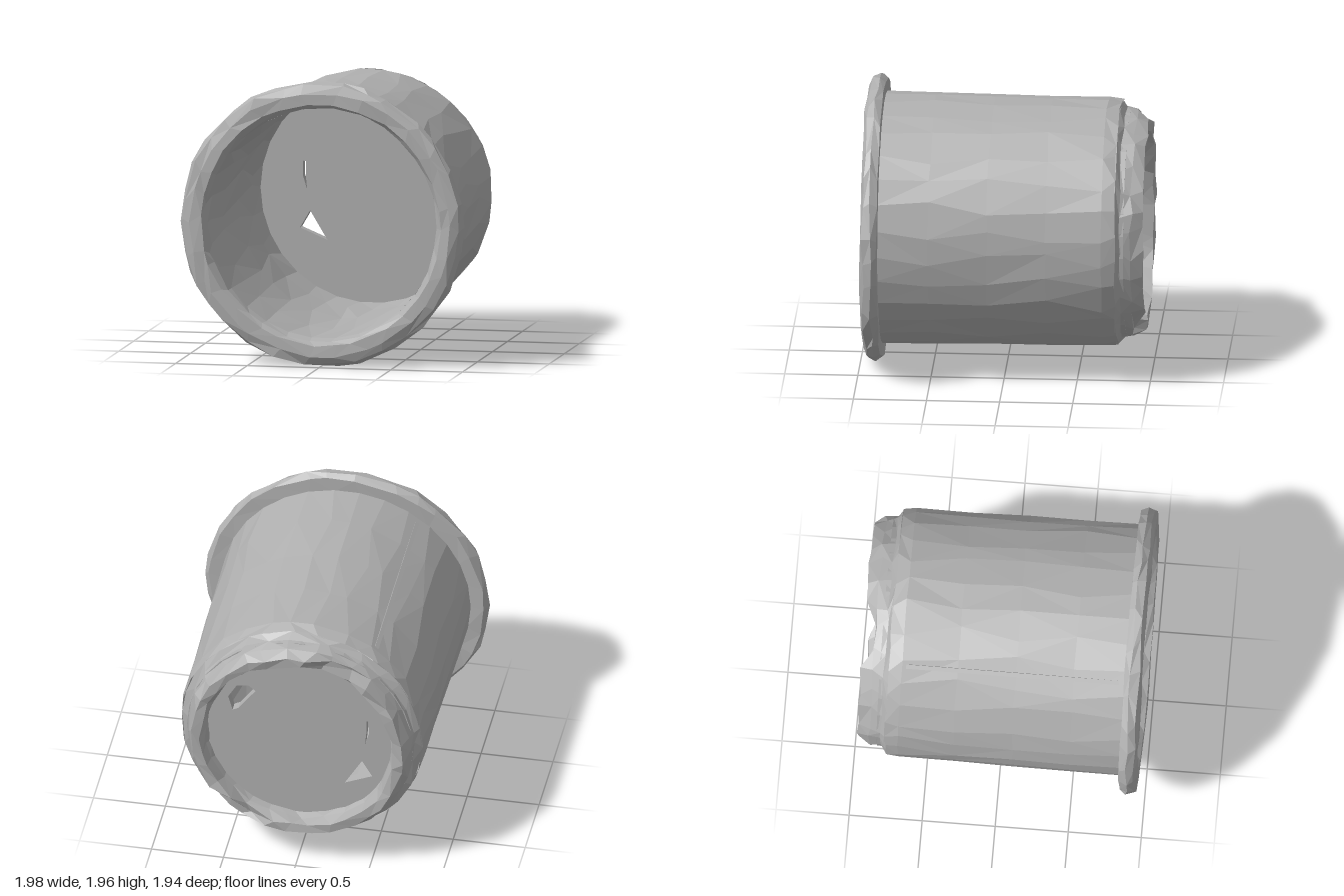
import * as THREE from 'three';

const CY = 1.01; // height of the pot's axis
const SEG = 30;

// repeatable noise in -1..1
function noise(i, j, k) {
  const s = Math.sin(i * 127.1 + j * 311.7 + k * 74.7) * 43758.5453;
  return 2 * (s - Math.floor(s)) - 1;
}

// Faceted skin through rings [radius, z, jitter]; adjust(angle, ring) may reshape a ring
function skin(rings, seed, adjust = () => ({})) {
  const pos = [], idx = [];
  rings.forEach(([r, z, jit], i) => {
    for (let j = 0; j < SEG; j++) {
      const a = ((j + 0.35 * noise(i + seed, j, 1) * (jit > 0 ? 1 : 0)) / SEG) * Math.PI * 2;
      const c = adjust((a * 180 / Math.PI + 360) % 360, i);
      const rr = (c.r ?? r) + jit * noise(i + seed, j, 2);
      const zz = (c.z ?? z) + jit * noise(i + seed, j, 3);
      pos.push(Math.cos(a) * rr, CY + Math.sin(a) * rr, zz);
    }
  });
  for (let i = 0; i < rings.length - 1; i++) {
    for (let j = 0; j < SEG; j++) {
      const k = (j + 1) % SEG;
      const a = i * SEG + j, b = i * SEG + k, c = b + SEG, d = a + SEG;
      if (noise(i, j, seed) > 0) idx.push(a, b, c, a, c, d);
      else idx.push(a, b, d, b, c, d);
    }
  }
  const g = new THREE.BufferGeometry();
  g.setAttribute('position', new THREE.Float32BufferAttribute(pos, 3));
  g.setIndex(idx);
  const flat = g.toNonIndexed();
  flat.computeVertexNormals();
  return flat;
}

export function createModel() {
  const group = new THREE.Group();
  const clay = new THREE.MeshStandardMaterial({ color: 0xb0b0b0, flatShading: true, side: THREE.DoubleSide });
  const add = (name, geo) => {
    const m = new THREE.Mesh(geo, clay);
    m.name = name;
    group.add(m);
    return m;
  };

  // outer wall
  add('outerWall', skin([
    [0.835, -0.77, 0.008], [0.85, -0.68, 0.006], [0.853, -0.3, 0.006],
    [0.856, 0.1, 0.006], [0.858, 0.5, 0.006], [0.862, 0.86, 0],
  ], 1));

  // flared rim around the mouth
  add('rim', skin([
    [0.85, 0.845, 0], [0.955, 0.845, 0.008], [0.985, 0.89, 0.011], [0.965, 0.945, 0.012],
    [0.91, 0.965, 0.008], [0.835, 0.96, 0.008], [0.805, 0.915, 0.01], [0.795, 0.84, 0],
  ], 11));

  // inner wall, pinched toward the floor at the top
  const pinched = a => a > 42 && a < 126;
  add('innerWall', skin([
    [0.795, 0.85, 0], [0.795, 0.4, 0.006], [0.79, -0.1, 0.006], [0.785, -0.5, 0.006], [0.775, -0.77, 0],
  ], 23, (a, i) => (i === 4 && pinched(a) ? { r: 0.66 } : {})));

  // foot ring with two chipped gaps
  const chipped = a => (a > 104 && a < 130) || (a > 292 && a < 310);
  add('footRing', skin([
    [0.63, -0.8, 0], [0.65, -0.87, 0.012], [0.67, -0.955, 0.012], [0.735, -0.96, 0.01],
    [0.775, -0.88, 0.012], [0.79, -0.8, 0.008], [0.837, -0.765, 0.006],
  ], 37, (a, i) => (chipped(a) && (i === 2 || i === 3) ? { z: -0.88 } : {})));

  // floor plate with ragged drain holes
  const floor = new THREE.Shape();
  floor.absarc(0, CY, 0.785, 0, Math.PI * 2);
  const holes = [
    [[0.31, 1.35], [0.36, 1.39], [0.44, 1.38], [0.5, 1.28], [0.47, 1.17], [0.43, 1.19]],
    [[-0.43, 0.86], [-0.31, 0.66], [-0.5, 0.74]],
    [[-0.48, 1.2], [-0.46, 1.2], [-0.46, 1.1], [-0.45, 1.0], [-0.48, 1.1]],
  ];
  for (const h of holes) floor.holes.push(new THREE.Path(h.map(([x, y]) => new THREE.Vector2(x, y))));
  const plate = add('floor', new THREE.ExtrudeGeometry(floor, { depth: 0.07, bevelEnabled: false, curveSegments: 16 }));
  plate.position.z = -0.83;

  // fine raised seam along the wall
  const a = Math.atan2(0.695, -0.5);
  const seam = add('seam', new THREE.BoxGeometry(0.012, 0.03, 1.5));
  seam.position.set(Math.cos(a) * 0.85, CY + Math.sin(a) * 0.85, 0.1);
  seam.rotation.z = a;

  return group;
}
